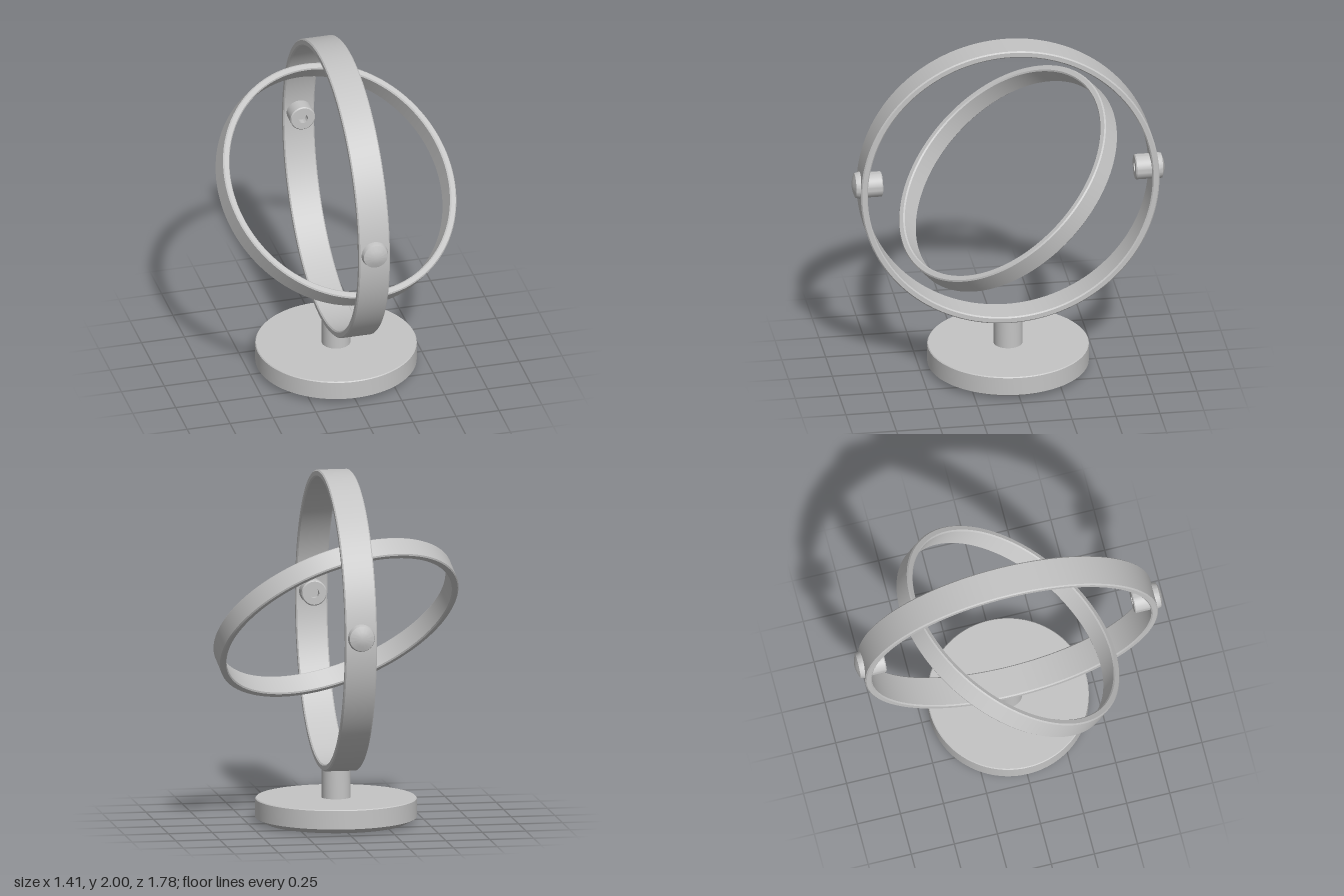
import * as THREE from 'three';
import { toCreasedNormals } from 'three/addons/utils/BufferGeometryUtils.js';

const grey = new THREE.MeshStandardMaterial({ color: 0xc4c4c4 });
grey.name = 'plain grey';

// Solid of revolution about y from [radius, height] pairs, with crisp edges
function turned(name, profile, segments) {
  const points = profile.map(([r, y]) => new THREE.Vector2(r, y));
  const geometry = toCreasedNormals(new THREE.LatheGeometry(points, segments), 0.5);
  const mesh = new THREE.Mesh(geometry, grey);
  mesh.name = name;
  return mesh;
}

// Flat band with slightly bevelled edges
function band(name, outer, inner, half) {
  const b = 0.007;
  return turned(name, [
    [outer - b, -half], [outer, -half + b], [outer, half - b], [outer - b, half],
    [inner + b, half], [inner, half - b], [inner, -half + b], [inner + b, -half],
    [outer - b, -half],
  ], 128);
}

export function createModel() {
  const model = new THREE.Group();
  model.name = 'gimbalStand';

  // Round foot with a chamfered underside
  model.add(turned('base', [
    [0, 0], [0.40, 0], [0.455, 0.03], [0.455, 0.135], [0.45, 0.14], [0, 0.14],
  ], 96));

  // Short post between foot and outer ring
  model.add(turned('post', [[0, 0.13], [0.081, 0.13], [0.081, 0.315], [0, 0.315]], 48));

  // Upright outer ring
  const outerRing = band('outerRing', 0.85, 0.811, 0.09);
  outerRing.rotation.z = Math.PI / 2;
  outerRing.position.y = 1.15;
  model.add(outerRing);

  // Tilted free inner ring
  const innerRing = band('innerRing', 0.715, 0.675, 0.06);
  innerRing.rotation.set(THREE.MathUtils.degToRad(40), 0, THREE.MathUtils.degToRad(-14));
  innerRing.position.y = 1.165;
  model.add(innerRing);

  // Pivot pins through the outer ring: socket inside, domed head outside
  for (const side of [1, -1]) {
    const pin = turned(side > 0 ? 'frontPivot' : 'backPivot', [
      [0, 0.76], [0.028, 0.76], [0.028, 0.72], [0.066, 0.72], [0.072, 0.726],
      [0.072, 0.825], [0.078, 0.825], [0.078, 0.845], [0.07, 0.873], [0.04, 0.884], [0, 0.892],
    ], 48);
    pin.rotation.x = side * Math.PI / 2;
    pin.position.y = 1.185;
    model.add(pin);
  }

  return model;
}
